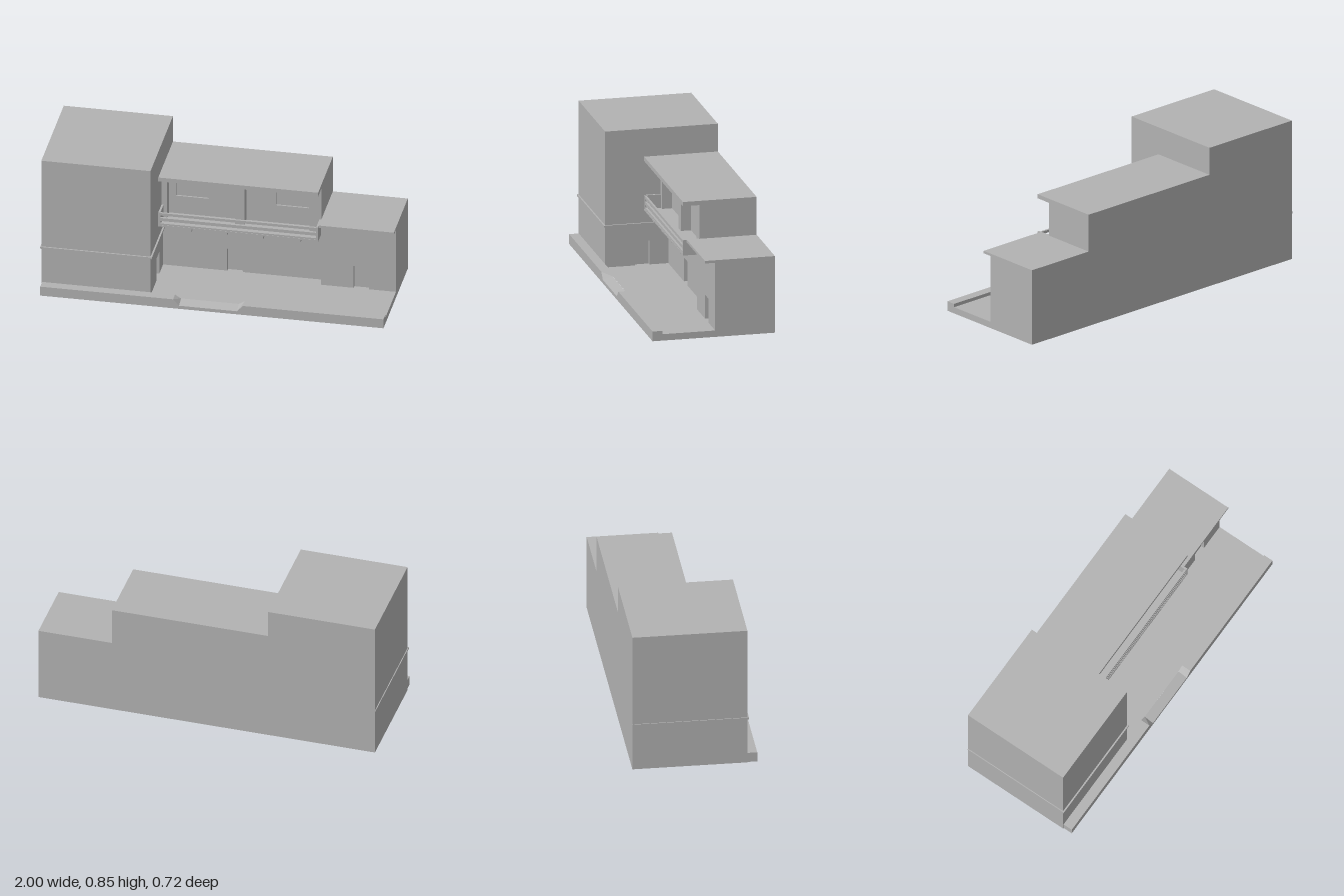
import * as THREE from 'three';

const plaster = new THREE.MeshStandardMaterial({ color: 0xb2b2b2, side: THREE.DoubleSide });
plaster.name = 'grey plaster';

const FACES = ['right', 'left', 'top', 'bottom', 'front', 'back'];

function mesh(name, geometry) {
  const m = new THREE.Mesh(geometry, plaster);
  m.name = name;
  return m;
}

// Box given by its limits; faces listed in skip are left open
function box(name, [x0, x1], [y0, y1], [z0, z1], skip = []) {
  const g = new THREE.BoxGeometry(x1 - x0, y1 - y0, z1 - z0);
  g.translate((x0 + x1) / 2, (y0 + y1) / 2, (z0 + z1) / 2);
  const all = Array.from(g.index.array);
  g.setIndex(all.filter((_, i) => !skip.includes(FACES[Math.floor(i / 6)])));
  g.clearGroups();
  return mesh(name, g);
}

// Flat wall facing +z with recessed rectangular openings [u0, u1, v0, v1]
function wall(name, outline, openings, depth) {
  const group = new THREE.Group();
  group.name = name;
  const shape = new THREE.Shape(outline.map(([u, v]) => new THREE.Vector2(u, v)));
  for (const [u0, u1, v0, v1] of openings) {
    shape.holes.push(new THREE.Path([[u0, v0], [u0, v1], [u1, v1], [u1, v0]]
      .map(([u, v]) => new THREE.Vector2(u, v))));
    group.add(box(name + 'Recess', [u0, u1], [v0, v1], [-depth, 0], ['front']));
  }
  group.add(mesh(name + 'Face', new THREE.ShapeGeometry(shape)));
  return group;
}

const rect = (u0, u1, v0, v1) => [[u0, v0], [u1, v0], [u1, v1], [u0, v1]];

// Kerb from cross-sections along x: [x, back height, front height]
function kerb() {
  const zb = 0.3, zf = 0.357, base = 0.03;
  const stations = [[-0.99, 0.058, 0.058], [-0.22, 0.058, 0.058], [-0.185, 0.037, 0.02],
    [0.15, 0.037, 0.02], [0.185, 0.058, 0.058], [1, 0.058, 0.058]];
  const pos = [];
  const quad = (a, b, c, d) => pos.push(...a, ...b, ...c, ...a, ...c, ...d);
  for (let i = 0; i < stations.length - 1; i++) {
    const [x0, b0, f0] = stations[i], [x1, b1, f1] = stations[i + 1];
    quad([x0, 0, zf], [x1, 0, zf], [x1, f1, zf], [x0, f0, zf]);
    quad([x0, f0, zf], [x1, f1, zf], [x1, b1, zb], [x0, b0, zb]);
    quad([x1, base, zb], [x0, base, zb], [x0, b0, zb], [x1, b1, zb]);
  }
  const [xl, bl, fl] = stations[0], [xr, br, fr] = stations[stations.length - 1];
  quad([xl, 0, zb], [xl, 0, zf], [xl, fl, zf], [xl, bl, zb]);
  quad([xr, 0, zf], [xr, 0, zb], [xr, br, zb], [xr, fr, zf]);
  const g = new THREE.BufferGeometry();
  g.setAttribute('position', new THREE.Float32BufferAttribute(pos, 3));
  g.computeVertexNormals();
  return mesh('kerb', g);
}

export function createModel() {
  const model = new THREE.Group();
  model.name = 'building';
  const add = (...parts) => model.add(...parts);

  const back = -0.36, front = 0.3;
  const xL = -0.995, xT = -0.362, xM = 0.565, xR = 1;
  const groundZ = -0.07, loggiaZ = -0.085;

  // Tall block, with a doorway in the wall facing the court
  add(box('tower', [xL, xT], [0, 0.845], [back, front], ['right', 'bottom']));
  const towerSide = wall('towerSideWall', [[-front, 0], [0.07, 0], [0.07, 0.365], [0.085, 0.365],
    [0.085, 0.68], [0.36, 0.68], [0.36, 0.845], [-front, 0.845]],
    [[-0.125, -0.04, 0.038, 0.18]], 0.02);
  towerSide.rotation.y = Math.PI / 2;
  towerSide.position.x = xT;
  add(towerSide);

  // String course round the tower
  const bandY = [0.278, 0.289];
  add(box('towerBandFront', [-1, -0.352], bandY, [front - 0.004, 0.309]));
  add(box('towerBandLeft', [-1, xL + 0.004], bandY, [back, front]));
  add(box('towerBandRight', [xT - 0.004, -0.352], bandY, [groundZ, front]));

  // Middle block: shell, ground wall with door, loggia wall with windows
  add(box('middleShell', [xT, xM], [0, 0.68], [back, loggiaZ], ['left', 'right', 'bottom', 'front']));
  add(box('middleEndWall', [xM - 0.002, xM], [0.455, 0.68], [back, loggiaZ]));
  const groundWall = wall('groundWall', rect(xT, xM, 0, 0.365), [[0.01, 0.1, 0.038, 0.18]], 0.02);
  groundWall.position.z = groundZ;
  const loggiaWall = wall('loggiaWall', rect(xT, xM, 0.365, 0.655),
    [[-0.29, -0.1, 0.485, 0.58], [0.29, 0.48, 0.485, 0.58]], 0.01);
  loggiaWall.position.z = loggiaZ;
  add(groundWall, loggiaWall);
  add(box('middleRoof', [xT, xM], [0.655, 0.68], [loggiaZ, 0.072], ['back']));
  for (const span of [[xT, -0.33], [0.065, 0.12], [0.495, xM]]) {
    add(box('loggiaPillar', span, [0.365, 0.655], [loggiaZ, -0.025], ['back']));
  }

  // Balcony with end panels, three rails and brackets beneath
  add(box('balconyFloor', [xT, xM], [0.362, 0.372], [loggiaZ, 0.072]));
  for (const span of [[xT, -0.35], [0.553, xM]]) {
    add(box('balconyEnd', span, [0.362, 0.453], [groundZ, 0.072]));
  }
  for (const y of [[0.372, 0.382], [0.398, 0.417], [0.433, 0.449]]) {
    add(box('balconyRail', [-0.35, 0.553], y, [0.058, 0.07]));
  }
  for (const x of [-0.19, 0.017, 0.227, 0.442]) {
    add(box('bracket', [x - 0.017, x + 0.017], [0.342, 0.362], [groundZ, 0.06]));
    add(box('bracketFoot', [x - 0.017, x + 0.017], [0.333, 0.342], [groundZ, 0.05]));
  }

  // Low block with a door and a thin eave
  add(box('lowBlock', [xM, xR], [0, 0.455], [back, -0.01], ['left', 'bottom', 'front']));
  add(box('lowBlockReturn', [xM, xM + 0.002], [0, 0.455], [groundZ, -0.01]));
  const lowWall = wall('lowBlockFront', rect(xM, xR, 0, 0.455), [[0.755, 0.845, 0.038, 0.18]], 0.02);
  lowWall.position.z = -0.01;
  add(lowWall);
  add(box('lowBlockEave', [xM, xR], [0.44, 0.455], [-0.01, 0.05]));

  // Court floor, its underside and the kerb in front
  add(box('courtFloor', [xT, xR], [0, 0.038], [groundZ, front], ['left', 'bottom', 'front', 'back']));
  add(box('courtBase', [xT, xR - 0.002], [0.015, 0.02], [-0.125, 0.272]));
  add(kerb());

  return model;
}
